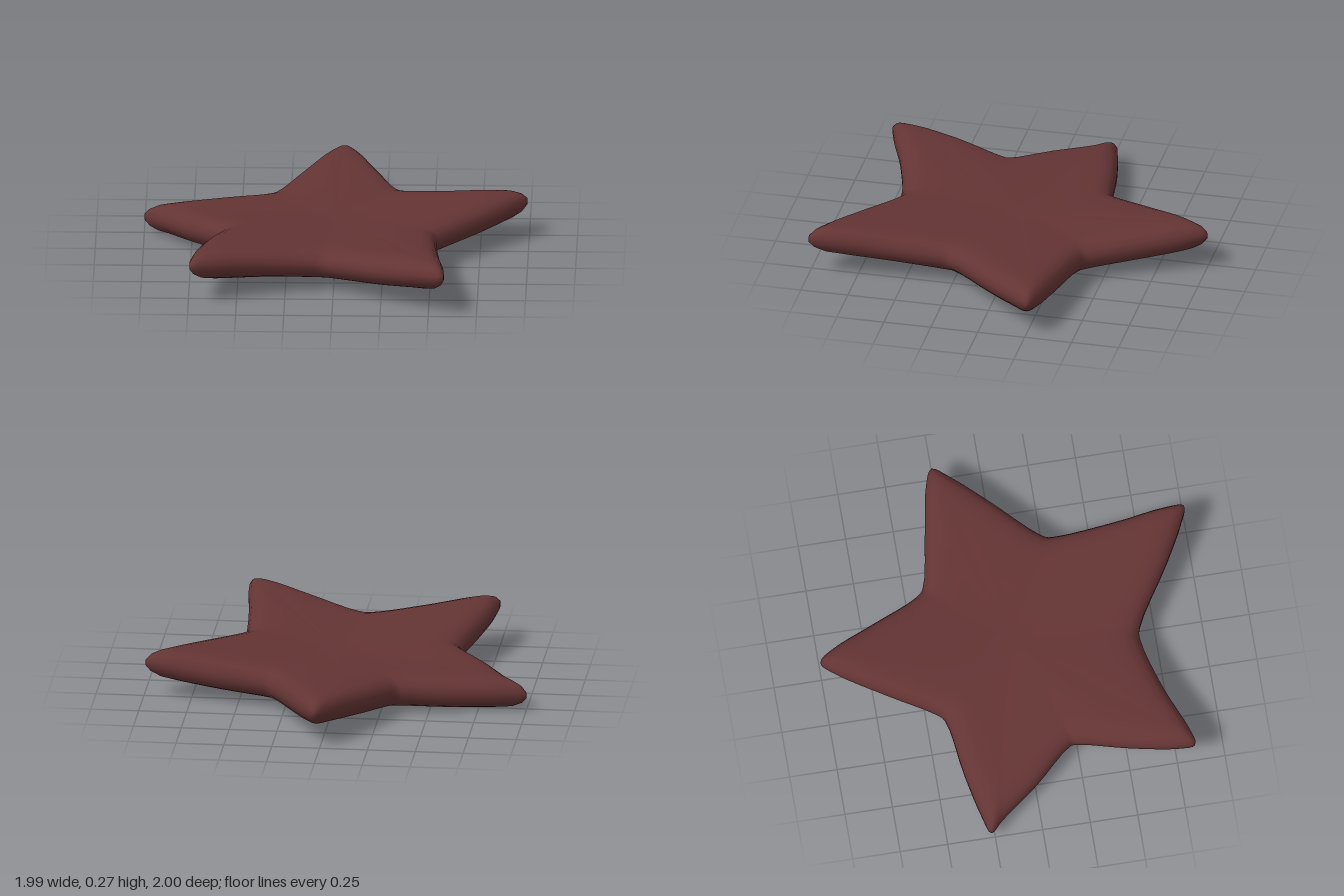
import * as THREE from 'three';

// Rim of the star, clockwise from the back tip: x, mid-height y, z
const RIM = [
  [0.03, 0.19, -1], [0.09, 0.185, -0.93], [0.2, 0.16, -0.7], [0.32, 0.135, -0.45],
  [0.36, 0.135, -0.41], [0.68, 0.16, -0.345], [0.91, 0.185, -0.3], [0.99, 0.19, -0.26],
  [0.93, 0.185, -0.17], [0.78, 0.17, 0], [0.54, 0.15, 0.26], [0.53, 0.15, 0.31],
  [0.55, 0.18, 0.65], [0.578, 0.205, 0.9], [0.57, 0.21, 1], [0.48, 0.205, 0.97],
  [0.28, 0.18, 0.86], [-0.03, 0.15, 0.67], [-0.1, 0.15, 0.66], [-0.4, 0.18, 0.735],
  [-0.65, 0.205, 0.83], [-0.735, 0.21, 0.845], [-0.74, 0.205, 0.76], [-0.69, 0.18, 0.52],
  [-0.61, 0.14, 0.25], [-0.61, 0.135, 0.21], [-0.79, 0.11, 0], [-0.94, 0.09, -0.2],
  [-1, 0.085, -0.27], [-0.91, 0.09, -0.305], [-0.66, 0.1, -0.36], [-0.36, 0.115, -0.41],
  [-0.32, 0.12, -0.45], [-0.19, 0.15, -0.68], [-0.04, 0.185, -0.93],
];
const CENTRE_Y = 0.105, HALF = 0.093;

// Rounded cross-section: fraction of the way to the rim, fraction of half thickness
const SECTION = [[0, 1], [0.2, 1], [0.4, 0.99], [0.6, 0.97], [0.76, 0.93], [0.86, 0.86], [0.93, 0.71], [0.975, 0.47], [1, 0.16]];

function starGeometry() {
  const curve = new THREE.CatmullRomCurve3(RIM.map(p => new THREE.Vector3(...p)), true, 'centripetal');
  const n = RIM.length * 4;
  const rings = [...SECTION, ...SECTION.map(([s, h]) => [s, -h]).reverse()];
  const positions = [], index = [];
  // Rings run from the middle of the top, over the rim, to the middle of the underside
  rings.forEach(([s, h], r) => {
    for (let i = 0; i < n; i++) {
      const p = curve.getPoint(i / n);
      const mid = THREE.MathUtils.lerp(CENTRE_Y, p.y, Math.pow(s, 1.4));
      positions.push(p.x * s, mid + h * HALF, p.z * s);
      if (r === rings.length - 1) continue;
      const j = (i + 1) % n;
      const a = r * n + i, b = r * n + j, c = a + n, d = b + n;
      if (s > 0) index.push(a, b, d);
      if (rings[r + 1][0] > 0) index.push(a, d, c);
      else index.push(a, b, c);
    }
  });
  const geometry = new THREE.BufferGeometry();
  geometry.setAttribute('position', new THREE.Float32BufferAttribute(positions, 3));
  geometry.setIndex(index);
  geometry.computeVertexNormals();
  // The middle of each side faces straight up or down
  const normal = geometry.attributes.normal;
  const last = (rings.length - 1) * n;
  for (let i = 0; i < n; i++) {
    normal.setXYZ(i, 0, 1, 0);
    normal.setXYZ(last + i, 0, -1, 0);
  }
  return geometry;
}

export function createModel() {
  const darkRed = new THREE.MeshStandardMaterial({ color: 0x643434 });
  darkRed.name = 'darkRed';
  const star = new THREE.Mesh(starGeometry(), darkRed);
  star.name = 'starBody';
  const model = new THREE.Group();
  model.name = 'star';
  model.add(star);
  return model;
}
